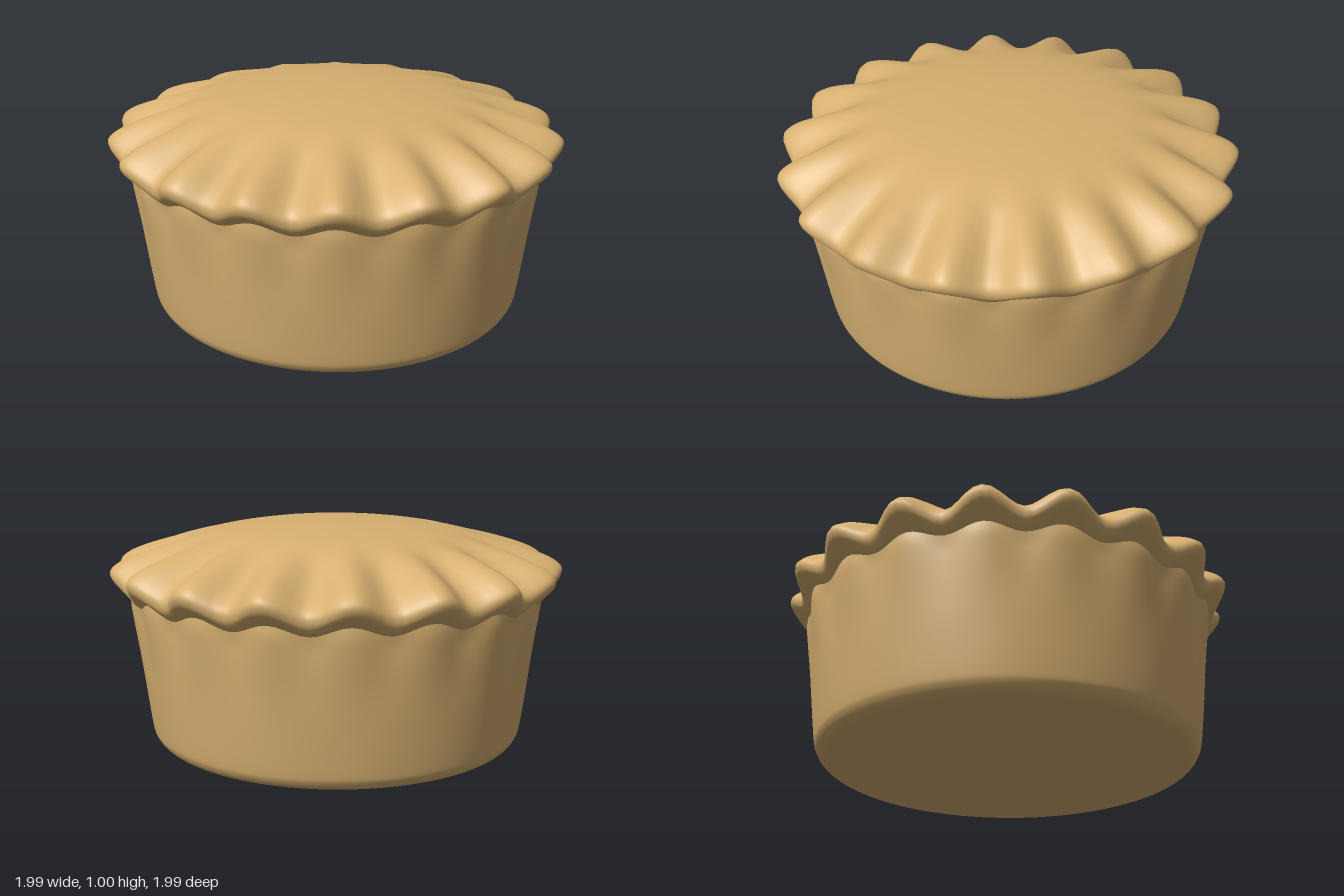
import * as THREE from 'three';

const LOBES = 18;
const SEGMENTS = 180;
const Z_SCALE = 1.012;

// Profiles are [radius, height] from top to bottom: one through a flute crest, one through a flute valley.
const LID_CREST = [[0, 1], [0.25, 0.99], [0.48, 0.96], [0.62, 0.93], [0.74, 0.902], [0.86, 0.867], [0.95, 0.83],
  [0.995, 0.79], [0.985, 0.745], [0.945, 0.715], [0.91, 0.69]];
const LID_VALLEY = [[0, 1], [0.25, 0.99], [0.48, 0.96], [0.62, 0.922], [0.71, 0.877], [0.8, 0.825], [0.88, 0.778],
  [0.928, 0.738], [0.934, 0.70], [0.918, 0.67], [0.895, 0.65]];
const DISH_CREST = [[0.91, 0.69], [0.912, 0.64], [0.9, 0.55], [0.88, 0.42], [0.86, 0.27], [0.838, 0.1],
  [0.825, 0.05], [0.795, 0.018], [0.74, 0.007], [0.65, 0.001], [0, 0]];
const DISH_VALLEY = [[0.895, 0.65], [0.888, 0.6], [0.884, 0.53], [0.875, 0.42], [0.86, 0.27], [0.838, 0.1],
  [0.825, 0.05], [0.795, 0.018], [0.74, 0.007], [0.65, 0.001], [0, 0]];

const spline = (points) => new THREE.SplineCurve(points.map(([r, y]) => new THREE.Vector2(r, y)));

// Revolves a profile that swings between crest and valley around the circle.
function flutedSurface(crestPoints, valleyPoints, rows) {
  const crest = spline(crestPoints);
  const valley = spline(valleyPoints);
  const positions = [];
  const indices = [];
  for (let i = 0; i <= rows; i++) {
    const c = crest.getPoint(i / rows);
    const v = valley.getPoint(i / rows);
    for (let j = 0; j < SEGMENTS; j++) {
      const angle = (j / SEGMENTS) * Math.PI * 2;
      const p = v.clone().lerp(c, 0.5 + 0.5 * Math.cos(LOBES * angle));
      positions.push(p.x * Math.cos(angle), p.y, p.x * Math.sin(angle) * Z_SCALE);
    }
  }
  // Rows that shrink to the axis share one vertex so the centre stays smooth.
  const at = (i, j) => {
    const pole = (i === 0 && crestPoints[0][0] === 0) || (i === rows && crestPoints.at(-1)[0] === 0);
    return i * SEGMENTS + (pole ? 0 : j % SEGMENTS);
  };
  for (let i = 0; i < rows; i++) {
    for (let j = 0; j < SEGMENTS; j++) {
      const a = at(i, j), b = at(i + 1, j), c = at(i, j + 1), d = at(i + 1, j + 1);
      if (a !== c) indices.push(a, c, b);
      if (b !== d) indices.push(c, d, b);
    }
  }
  const geometry = new THREE.BufferGeometry();
  geometry.setAttribute('position', new THREE.Float32BufferAttribute(positions, 3));
  geometry.setIndex(indices);
  geometry.computeVertexNormals();
  return geometry;
}

export function createModel() {
  const group = new THREE.Group();
  group.name = 'pie';
  const pastry = new THREE.MeshStandardMaterial({ color: 0xd6af70 });
  pastry.name = 'golden pastry';

  // Domed lid with the crimped, overhanging rim
  const lid = new THREE.Mesh(flutedSurface(LID_CREST, LID_VALLEY, 50), pastry);
  lid.name = 'crimpedLid';

  // Tapered side wall, rounded lower edge and flat base
  const base = new THREE.Mesh(flutedSurface(DISH_CREST, DISH_VALLEY, 50), pastry);
  base.name = 'crustBase';

  group.add(lid, base);
  return group;
}
